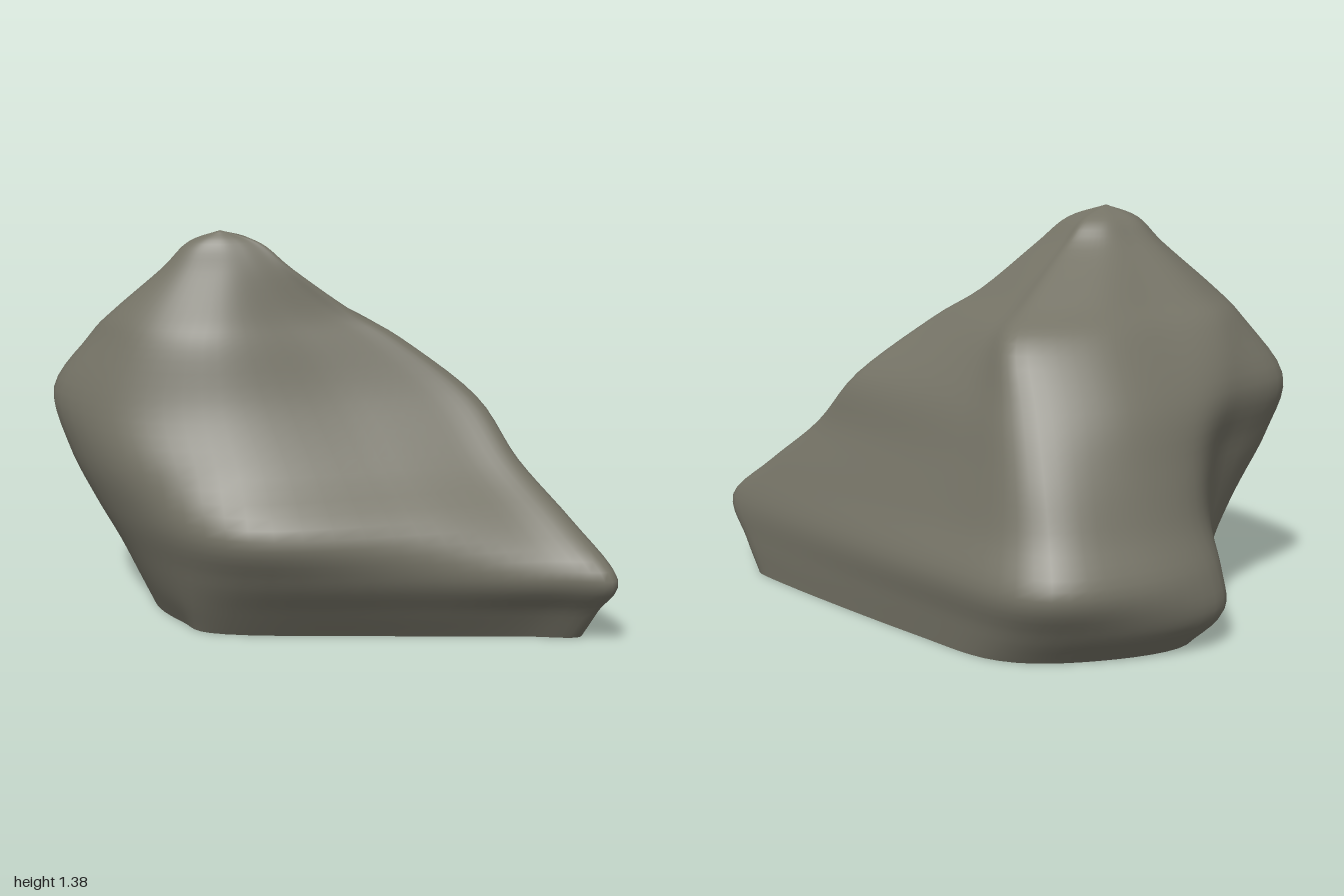
import * as THREE from 'three';

// Heights of the horizontal cross-sections
const heights = [0, 0.12, 0.26, 0.42, 0.6, 0.8, 1.0, 1.1, 1.25];
const apex = new THREE.Vector3(-0.33, 1.385, 0.33);

// Ridges and hollows of the boulder: [x, z] at every height
const tipRidge = [[0.83, -0.18], [0.91, -0.15], [1, -0.1], [0.81, -0.13], [0.58, -0.15], [0.4, -0.16], [0.16, -0.04], [0.02, 0.06], [-0.12, 0.2]];
const frontFace = [[0.33, 0.16], [0.42, 0.2], [0.5, 0.25], [0.45, 0.27], [0.27, 0.21], [0.11, 0.18], [-0.03, 0.22], [-0.11, 0.26], [-0.2, 0.31]];
const frontCorner = [[-0.2, 0.5], [-0.12, 0.55], [-0.03, 0.61], [0.03, 0.66], [-0.07, 0.57], [-0.18, 0.52], [-0.23, 0.48], [-0.25, 0.44], [-0.28, 0.39]];
const frontBulge = [[-0.4, 0.49], [-0.4, 0.56], [-0.41, 0.62], [-0.42, 0.68], [-0.45, 0.705], [-0.55, 0.66], [-0.5, 0.59], [-0.46, 0.54], [-0.4, 0.45]];
const leftShoulder = [[-0.63, 0.37], [-0.68, 0.4], [-0.73, 0.44], [-0.8, 0.49], [-0.88, 0.53], [-0.93, 0.54], [-0.77, 0.52], [-0.66, 0.51], [-0.5, 0.44]];
const sideHollow = [[-0.75, 0.1], [-0.82, 0.12], [-0.83, 0.14], [-0.83, 0.16], [-0.85, 0.18], [-0.89, 0.2], [-0.81, 0.28], [-0.7, 0.32], [-0.53, 0.34]];
const sideBulge = [[-0.88, -0.18], [-0.99, -0.15], [-0.97, -0.15], [-0.9, -0.15], [-0.86, -0.11], [-0.82, -0.05], [-0.7, 0.04], [-0.6, 0.12], [-0.48, 0.24]];
const backRidge = [[-0.4, -0.61], [-0.5, -0.66], [-0.57, -0.71], [-0.53, -0.63], [-0.48, -0.56], [-0.41, -0.47], [-0.33, -0.36], [-0.31, -0.18], [-0.3, 0.09]];

// A line across a face, part way between two ridges and pushed outward
function between(a, b, t, push) {
  return a.map(([x, z], i) => {
    const [u, w] = b[i];
    return [x + (u - x) * t + (w - z) * push, z + (w - z) * t - (u - x) * push];
  });
}

// Vertical curve through one ridge, closing near the summit
function ridgeCurve(ridge) {
  const points = ridge.map(([x, z], i) => new THREE.Vector3(x, heights[i], z));
  const shoulder = points[points.length - 1].clone().lerp(apex, 0.45);
  shoulder.y = 1.342;
  points.push(shoulder, apex.clone());
  return new THREE.CatmullRomCurve3(points, false, 'catmullrom', 0.5);
}

function boulderGeometry() {
  const columns = [
    tipRidge, between(tipRidge, frontFace, 0.35, 0), frontFace, frontCorner,
    frontBulge, leftShoulder, sideHollow, sideBulge,
    between(sideBulge, backRidge, 0.5, 0.12),
    backRidge, between(backRidge, tipRidge, 0.3, 0.03), between(backRidge, tipRidge, 0.85, 0.03),
  ].map(ridgeCurve);
  const rows = (heights.length + 1) * 5;
  const around = columns.length * 6;
  const positions = [];
  const indices = [];
  for (let i = 0; i < rows; i++) {
    const section = new THREE.CatmullRomCurve3(columns.map((c) => c.getPoint(i / rows)), true, 'catmullrom', 0.5);
    for (let j = 0; j < around; j++) {
      const p = section.getPoint(j / around);
      positions.push(p.x, Math.max(0, p.y), p.z);
    }
  }
  positions.push(apex.x, apex.y, apex.z);
  const top = rows * around;
  for (let i = 0; i < rows; i++) {
    for (let j = 0; j < around; j++) {
      const a = i * around + j;
      const b = i * around + ((j + 1) % around);
      if (i === rows - 1) indices.push(a, top, b);
      else indices.push(a, a + around, b, b, a + around, b + around);
    }
  }
  const body = new THREE.BufferGeometry();
  body.setAttribute('position', new THREE.Float32BufferAttribute(positions, 3));
  body.setIndex(indices);
  body.computeVertexNormals();

  // Flat underside sharing the outline of the lowest section
  const outline = [];
  for (let j = around - 1; j >= 0; j--) outline.push(new THREE.Vector2(positions[j * 3], positions[j * 3 + 2]));
  const base = new THREE.ShapeGeometry(new THREE.Shape(outline)).rotateX(Math.PI / 2);
  return { body, base };
}

export function createModel() {
  const stone = new THREE.MeshStandardMaterial({ color: 0x757366 });
  stone.name = 'grey stone';
  const group = new THREE.Group();
  group.name = 'boulder';
  const { body, base } = boulderGeometry();
  for (const [name, geometry] of [['rockBody', body], ['flatUnderside', base]]) {
    const mesh = new THREE.Mesh(geometry, stone);
    mesh.name = name;
    group.add(mesh);
  }
  return group;
}
